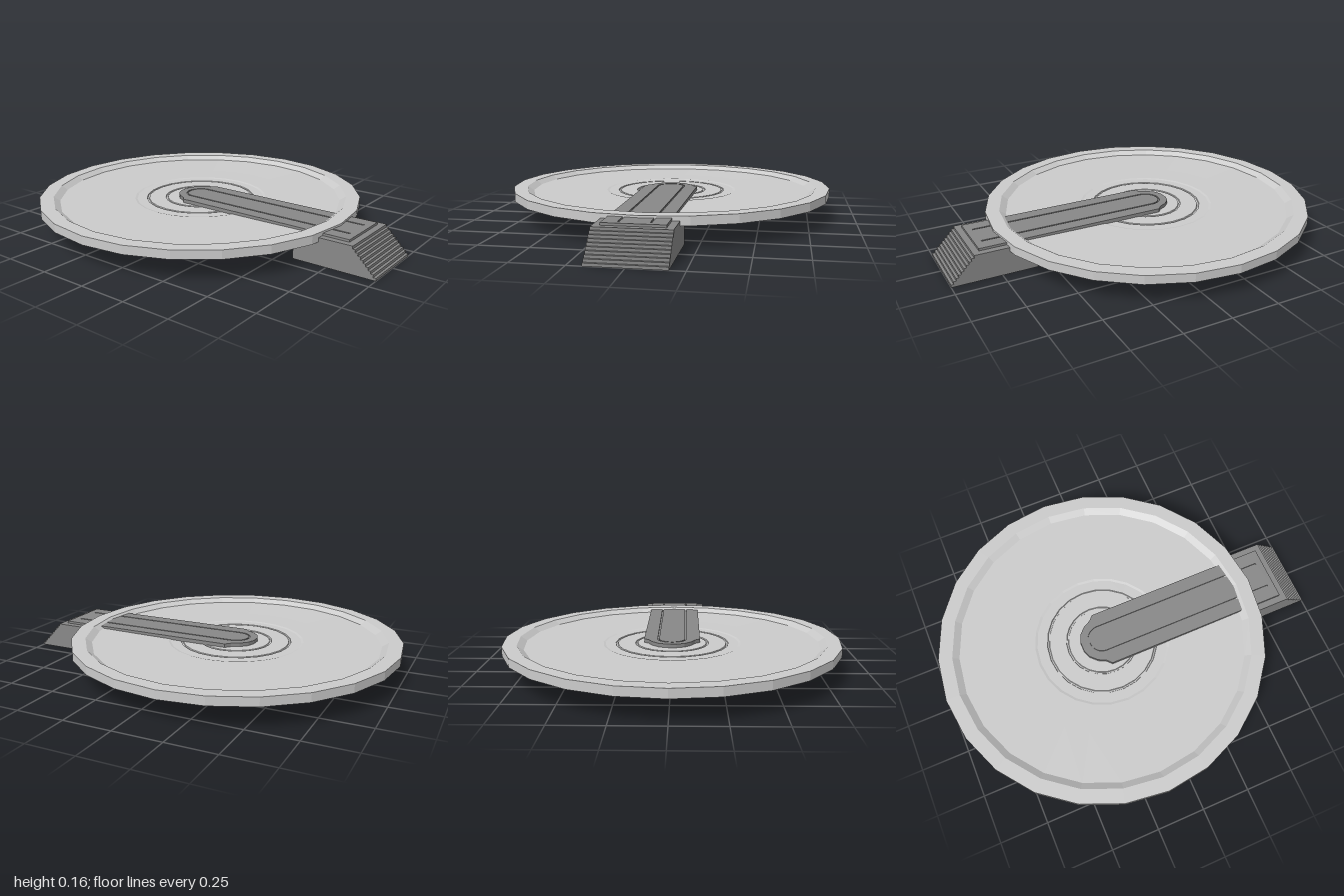
import * as THREE from 'three';

const CX = -0.137; // centre of the round plate

export function createModel() {
  const group = new THREE.Group();
  const light = new THREE.MeshStandardMaterial({ color: 0xcccccc, flatShading: true });
  const dark = new THREE.MeshStandardMaterial({ color: 0x888888, flatShading: true });

  const add = (name, geometry, material) => {
    const mesh = new THREE.Mesh(geometry, material);
    mesh.name = name;
    group.add(mesh);
    return mesh;
  };
  // Flat outline in x/z, raised from y0 to y1
  const slab = (shape, y0, y1) => {
    const g = new THREE.ExtrudeGeometry(shape, { depth: y1 - y0, bevelEnabled: false, curveSegments: 10 });
    return g.rotateX(-Math.PI / 2).translate(0, y0, 0);
  };
  const toShape = (pts) => new THREE.Shape(pts.map(([x, y]) => new THREE.Vector2(x, y)));

  // Dished plate: underside, raised rim, then stepped and grooved top
  const profile = [
    [0, 0.116], [0.05, 0.116], [0.053, 0.118], [0.06, 0.118], [0.063, 0.116],
    [0.18, 0.116], [0.183, 0.119], [0.19, 0.119], [0.193, 0.116],
    [0.28, 0.116], [0.283, 0.119], [0.29, 0.119], [0.293, 0.116],
    [0.345, 0.116], [0.355, 0.115], [0.55, 0.115], [0.863, 0.115],
    [0.863, 0.16], [0.79, 0.16], [0.757, 0.138], [0.5, 0.135],
    [0.357, 0.134], [0.345, 0.131],
    [0.292, 0.131], [0.29, 0.126], [0.282, 0.126], [0.28, 0.131],
    [0.19, 0.131], [0.188, 0.126], [0.18, 0.126], [0.178, 0.131], [0, 0.131],
  ].map(([r, y]) => new THREE.Vector2(r, y));
  add('plate', new THREE.LatheGeometry(profile, 24), light).position.x = CX;

  // Arm outline with a faceted nose
  const half = [[CX, 0.145], [-0.16, 0.12], [-0.2, 0.1], [-0.235, 0.065], [-0.25, 0.025]];
  const nose = [...half, ...half.map(([x, z]) => [x, -z]).reverse()];
  const outline = [[0.845, 0.145], ...nose, [0.845, -0.145]];
  add('armBase', slab(toShape(outline), 0.122, 0.144), dark);

  // Arm cover with a U-shaped groove
  const cover = toShape(outline);
  const groove = new THREE.Path();
  groove.moveTo(0.81, 0.075);
  groove.lineTo(CX, 0.075);
  groove.absarc(CX, 0, 0.075, Math.PI / 2, Math.PI * 1.5, false);
  groove.lineTo(0.81, -0.075);
  groove.lineTo(0.81, -0.067);
  groove.lineTo(CX, -0.067);
  groove.absarc(CX, 0, 0.067, Math.PI * 1.5, Math.PI / 2, true);
  groove.lineTo(0.81, 0.067);
  groove.closePath();
  cover.holes.push(groove);
  add('armCover', slab(cover, 0.144, 0.15), dark);

  // Lips of the arm below the plate
  for (const s of [1, -1]) {
    const rail = new THREE.BoxGeometry(0.74, 0.012, 0.012);
    add(s > 0 ? 'frontRail' : 'backRail', rail, dark).position.set(0.233, 0.119, s * 0.139);
  }
  const lip = [...nose, ...[...nose].reverse().map(([x, z]) => [x + 0.015, z * 0.9])];
  add('noseLip', slab(toShape(lip), 0.111, 0.125), dark);

  // Stand with stepped outer face
  const side = [[0.57, 0], [1, 0]];
  const steps = 10;
  for (let i = 0; i < steps; i++) {
    const x = 1 - 0.0135 * i;
    side.push([x, 0.0138 * (i + 1)], [x - 0.0135, 0.0138 * (i + 1)]);
  }
  side.push([0.705, 0.138], [0.705, 0.116], [0.57, 0.116]);
  const stand = new THREE.ExtrudeGeometry(toShape(side), { depth: 0.36, bevelEnabled: false });
  add('stand', stand.translate(0, 0, -0.18), dark);

  return group;
}
